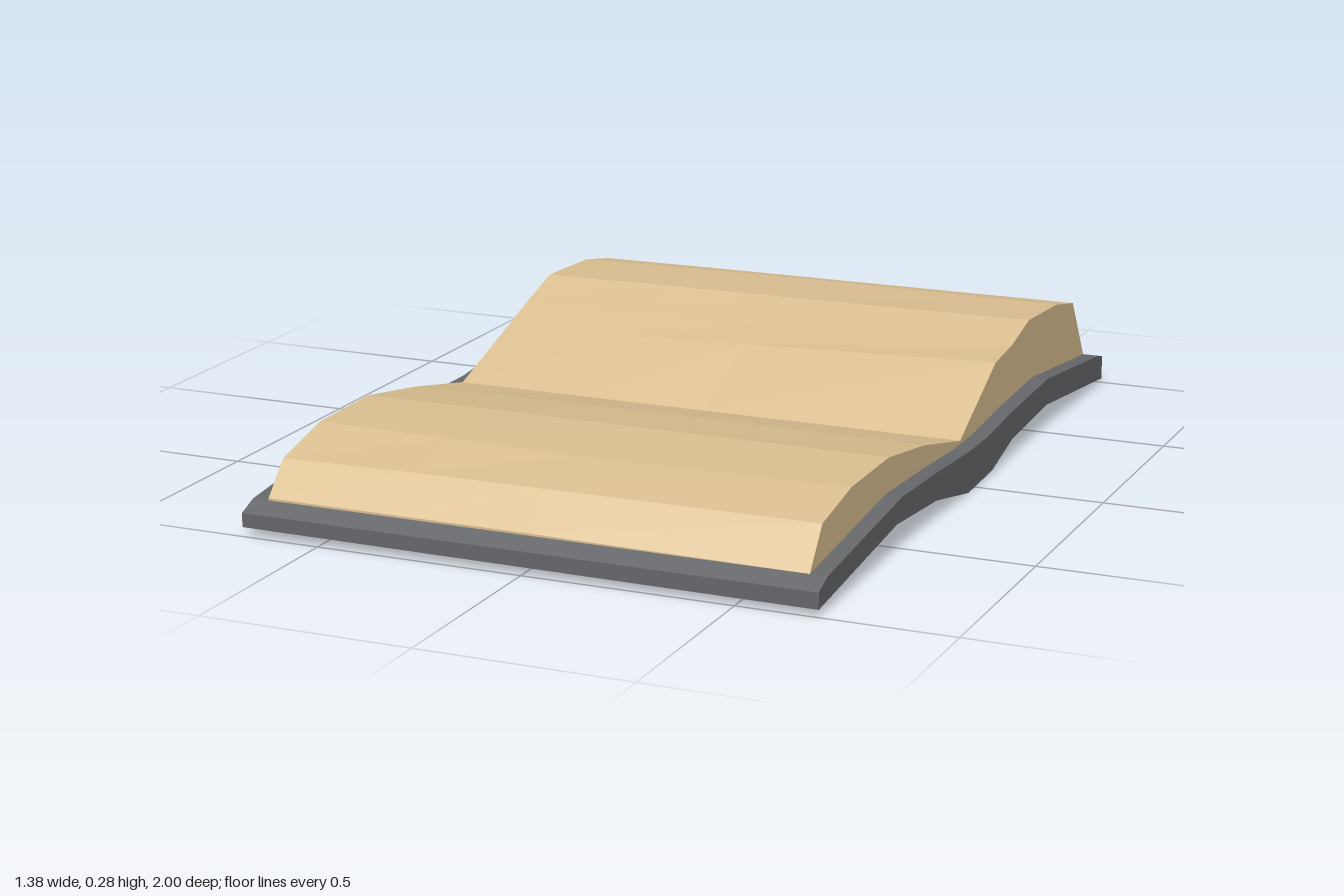
import * as THREE from 'three';

// Lofts a slab along x. Each section: { x, top: [[z, y]...], bottom: [[z, y]...] },
// both lists running front to back with equal lengths.
function loft(sections) {
  const pos = [];
  const quad = (a, b, c, d) => pos.push(...a, ...b, ...c, ...a, ...c, ...d);
  const point = (s, side, i) => [s.x, s[side][i][1], s[side][i][0]];
  const n = sections[0].top.length;
  for (let j = 0; j < sections.length - 1; j++) {
    const s = sections[j], t = sections[j + 1];
    for (let i = 0; i < n - 1; i++) {
      quad(point(s, 'top', i), point(t, 'top', i), point(t, 'top', i + 1), point(s, 'top', i + 1));
      quad(point(s, 'bottom', i + 1), point(t, 'bottom', i + 1), point(t, 'bottom', i), point(s, 'bottom', i));
    }
    const e = n - 1;
    quad(point(s, 'bottom', 0), point(t, 'bottom', 0), point(t, 'top', 0), point(s, 'top', 0));
    quad(point(t, 'bottom', e), point(s, 'bottom', e), point(s, 'top', e), point(t, 'top', e));
  }
  const l = sections[0], r = sections[sections.length - 1];
  for (let i = 0; i < n - 1; i++) {
    quad(point(r, 'bottom', i), point(r, 'bottom', i + 1), point(r, 'top', i + 1), point(r, 'top', i));
    quad(point(l, 'bottom', i + 1), point(l, 'bottom', i), point(l, 'top', i), point(l, 'top', i + 1));
  }
  const g = new THREE.BufferGeometry();
  g.setAttribute('position', new THREE.Float32BufferAttribute(pos, 3));
  g.computeVertexNormals();
  return g;
}

export function createModel() {
  const book = new THREE.Group();
  book.name = 'openBook';
  const coverMaterial = new THREE.MeshStandardMaterial({ color: 0x66686b, flatShading: true });
  coverMaterial.name = 'coverGrey';
  const paperMaterial = new THREE.MeshStandardMaterial({ color: 0xdabf91, flatShading: true });
  paperMaterial.name = 'paperTan';

  // Bent cover: two boards rising from the outer edges, dipping at the spine
  const coverTop = [[1, 0.055], [0.95, 0.075], [0.5, 0.12], [0.27, 0.112], [0.05, 0.1],
    [-0.08, 0.1], [-0.27, 0.115], [-0.54, 0.126], [-0.96, 0.08], [-1, 0.07]];
  const coverBottom = [[1, 0.022], [0.95, 0.027], [0.53, 0.07], [0.27, 0.05], [0.05, 0.005],
    [-0.12, 0.012], [-0.27, 0.05], [-0.53, 0.066], [-0.96, 0.02], [-1, 0.015]];
  const lower = (pts, d) => pts.map(([z, y]) => [z, y - d]);
  const cover = new THREE.Mesh(loft([
    { x: -0.69, top: coverTop, bottom: coverBottom },
    { x: 0.69, top: coverTop, bottom: lower(coverBottom, 0.005) },
  ]), coverMaterial);
  cover.name = 'cover';
  book.add(cover);

  // Page block: wavy open pages, the rear half thicker than the front half
  const pageZ = [0.95, 0.88, 0.71, 0.48, 0.25, 0, -0.25, -0.37, -0.5, -0.72, -0.86, -0.96];
  const pageBase = [0.06, 0.07, 0.085, 0.105, 0.1, 0.09, 0.1, 0.105, 0.11, 0.09, 0.075, 0.065];
  const heights = [
    [-0.65, [0.08, 0.155, 0.195, 0.198, 0.16, 0.108, 0.19, 0.23, 0.27, 0.262, 0.235, 0.085]],
    [-0.32, [0.08, 0.16, 0.193, 0.2, 0.165, 0.108, 0.2, 0.236, 0.273, 0.268, 0.237, 0.085]],
    [0, [0.08, 0.162, 0.19, 0.2, 0.168, 0.108, 0.212, 0.24, 0.275, 0.27, 0.238, 0.085]],
    [0.65, [0.075, 0.165, 0.197, 0.2, 0.165, 0.108, 0.235, 0.248, 0.28, 0.268, 0.24, 0.085]],
  ];
  const bottom = pageZ.map((z, i) => [z, pageBase[i]]);
  const pages = new THREE.Mesh(loft(heights.map(([x, ys]) => (
    { x, top: pageZ.map((z, i) => [z, ys[i]]), bottom }
  ))), paperMaterial);
  pages.name = 'pages';
  book.add(pages);

  return book;
}
